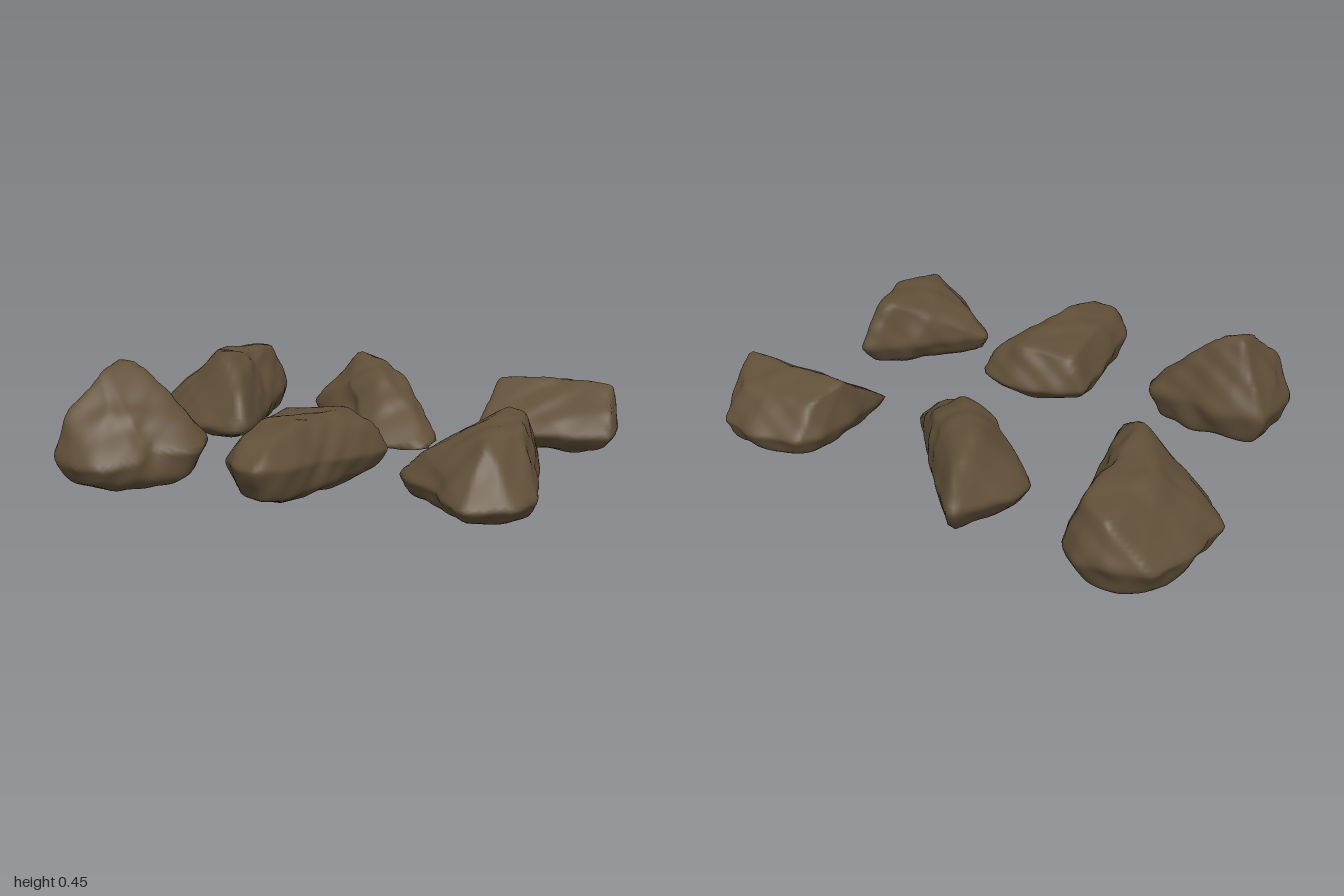
import * as THREE from 'three';
import { mergeVertices } from 'three/addons/utils/BufferGeometryUtils.js';
import { ConvexGeometry } from 'three/addons/geometries/ConvexGeometry.js';

const V = (x = 0, y = 0, z = 0) => new THREE.Vector3(x, y, z);

// Gentle lumps that break up the flat facets
function lumps(p, seed) {
  const a = Math.sin(p.x * 19 + p.z * 11 + seed) * Math.sin(p.y * 23 - p.z * 15 + seed * 2.3);
  const b = Math.sin(p.x * 37 - p.y * 29 + seed * 3.1) * Math.sin(p.z * 41 + p.y * 17 + seed);
  const c = 1 - 2 * Math.abs(Math.sin(p.x * 14 - p.z * 8 + p.y * 9 + seed * 1.7));
  return a * 0.005 + b * 0.004 + c * 0.003;
}

// Facet planes of a rough block, measured from its centre
function facetPlanes(points, centre) {
  const hull = new ConvexGeometry(points).getAttribute('position');
  const planes = [];
  for (let i = 0; i < hull.count; i += 3) {
    const [a, b, c] = [0, 1, 2].map((k) => V().fromBufferAttribute(hull, i + k).sub(centre));
    const n = b.sub(a).cross(c.sub(a));
    if (n.length() < 1e-7) continue;
    n.normalize();
    if (!planes.some((q) => q.n.dot(n) > 0.9995)) planes.push({ n, h: Math.max(n.dot(a), 0.005) });
  }
  return planes;
}

// outline: widest contour [x, z]; waist, tilt: its height and slope along z;
// crest: top points [x, y, z]; base: lowest height; dent: [x, y, z] of a hollow
function rockGeometry({ outline, waist, tilt, crest, base, dent, depth }, seed) {
  const mid = outline.reduce((s, [x, z]) => s.add(V(x, 0, z)), V()).divideScalar(outline.length);
  const points = crest.map((c) => V(...c));
  for (const [x, z] of outline) {
    points.push(V(x, waist + tilt * (z - mid.z), z));
    // Underside drawn inwards in two steps
    points.push(V(x, base + 0.04, z).lerp(V(mid.x, base + 0.04, mid.z), 0.14));
    points.push(V(x, base, z).lerp(V(mid.x, base, mid.z), 0.5));
  }
  const box = new THREE.Box3().setFromPoints(points);
  const half = box.getSize(V()).multiplyScalar(0.5);
  const centre = mid.setY(box.getCenter(V()).y);
  const planes = facetPlanes(points, centre);
  const hollow = V(...dent);

  // Push a ball out to the facets, softening the edges
  const ball = new THREE.IcosahedronGeometry(1, 16);
  ball.deleteAttribute('uv');
  ball.deleteAttribute('normal');
  const geo = mergeVertices(ball, 1e-5);
  const pos = geo.getAttribute('position');
  const sharpness = 60;
  for (let i = 0; i < pos.count; i++) {
    const d = V().fromBufferAttribute(pos, i).multiply(half);
    const sum = planes.reduce((s, { n, h }) => s + Math.max(n.dot(d) / h, 0) ** sharpness, 0);
    d.multiplyScalar(sum ** (-1 / sharpness));
    const p = d.clone().add(centre);
    const push = lumps(p, seed) - depth * Math.exp(-p.distanceToSquared(hollow) / 0.008);
    p.addScaledVector(d.normalize(), push);
    pos.setXYZ(i, p.x, p.y, p.z);
  }
  geo.computeVertexNormals();
  return geo;
}

export function createModel() {
  const group = new THREE.Group();
  group.name = 'rocks';
  const stone = new THREE.MeshStandardMaterial({ color: 0x615039 });
  stone.name = 'brownStone';

  const addRock = (name, shape) => {
    const mesh = new THREE.Mesh(rockGeometry(shape, group.children.length * 1.9 + 0.6), stone);
    mesh.name = name;
    group.add(mesh);
  };

  // Back row
  addRock('backLeftRock', {
    outline: [[-.92, -.81], [-.78, -.88], [-.66, -.87], [-.57, -.78], [-.44, -.07], [-.49, -.02],
      [-.7, -.09], [-.89, -.22], [-1.01, -.39], [-.97, -.68]],
    waist: .13, tilt: -.1, base: .015,
    crest: [[-.76, .32, -.82], [-.64, .34, -.76], [-.78, .35, -.5], [-.63, .375, -.25], [-.53, .3, -.2],
      [-.48, .22, -.09], [-.9, .22, -.45]],
    dent: [-.57, .3, -.5], depth: .03,
  });
  addRock('backMiddleRock', {
    outline: [[-.2, -.87], [-.28, -.72], [-.34, -.6], [-.34, -.51], [.09, -.04], [.18, -.04],
      [.32, -.08], [.33, -.19], [.14, -.43], [-.02, -.66]],
    waist: .13, tilt: -.14, base: .045,
    crest: [[-.18, .31, -.78], [-.15, .365, -.58], [-.02, .35, -.52], [.12, .29, -.43], [.04, .33, -.32],
      [-.11, .28, -.34], [.22, .21, -.21], [-.28, .22, -.6]],
    dent: [-.09, .13, -.27], depth: .05,
  });
  addRock('backRightRock', {
    outline: [[.47, -.18], [.47, -.4], [.49, -.61], [.55, -.68], [.72, -.71], [.91, -.66],
      [1, -.4], [1, -.22]],
    waist: .16, tilt: -.04, base: .06,
    crest: [[.5, .32, -.43], [.72, .34, -.43], [.97, .33, -.4], [.55, .29, -.58], [.86, .29, -.58],
      [.98, .25, -.28]],
    dent: [.75, .22, -.22], depth: .01,
  });

  // Front row
  addRock('frontLeftRock', {
    outline: [[-.91, .28], [-.78, .25], [-.43, .31], [-.395, .4], [-.4, .48], [-.51, .65],
      [-.66, .75], [-.76, .74], [-.89, .67], [-.94, .54]],
    waist: .14, tilt: -.12, base: .005,
    crest: [[-.78, .45, .36], [-.69, .445, .36], [-.78, .425, .48], [-.5, .27, .38], [-.7, .31, .57],
      [-.85, .28, .63]],
    dent: [-.45, .15, .61], depth: .07,
  });
  addRock('frontMiddleRock', {
    outline: [[-.2, .2], [0, .12], [.14, .13], [.26, .19], [.23, .33], [.13, .64], [.09, .8],
      [.02, .87], [-.08, .84], [-.17, .72], [-.2, .28]],
    waist: .17, tilt: .1, base: .05,
    crest: [[-.14, .28, .22], [.09, .3, .2], [.21, .25, .23], [-.12, .3, .5], [.05, .32, .6],
      [-.09, .28, .74], [.03, .27, .8]],
    dent: [.16, .2, .6], depth: .02,
  });
  addRock('frontRightRock', {
    outline: [[.37, .48], [.64, .22], [.73, .12], [.79, .1], [.86, .38], [.91, .61],
      [.86, .74], [.7, .8], [.61, .74], [.45, .57]],
    waist: .14, tilt: -.06, base: .04,
    crest: [[.7, .35, .2], [.77, .33, .21], [.68, .345, .36], [.81, .33, .48], [.73, .32, .63],
      [.59, .3, .46], [.45, .22, .48]],
    dent: [.52, .15, .68], depth: .03,
  });
  return group;
}
